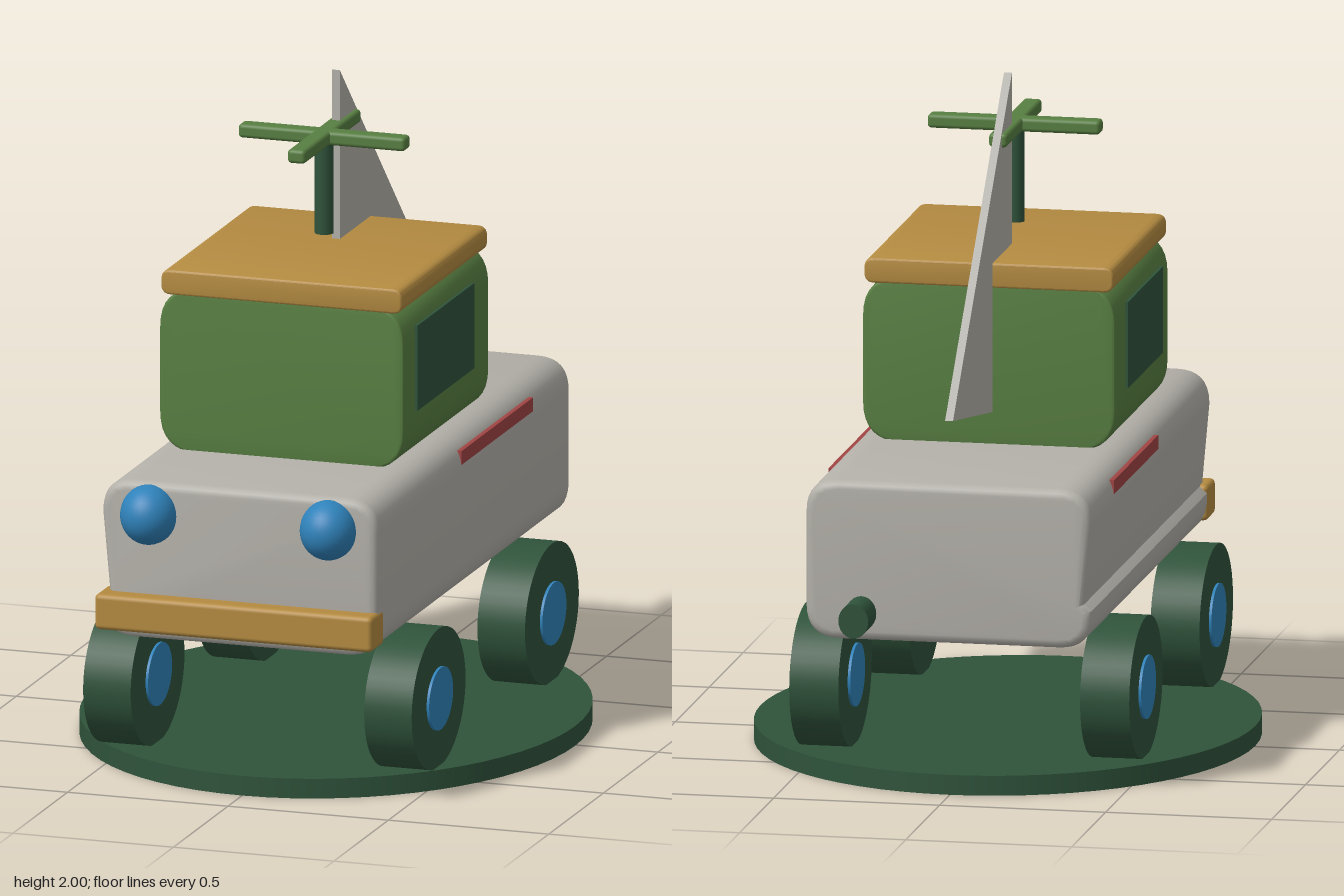
import * as THREE from 'three';
import { toCreasedNormals } from 'three/addons/utils/BufferGeometryUtils.js';
import { RoundedBoxGeometry } from 'three/addons/geometries/RoundedBoxGeometry.js';

const mat = (name, color) => Object.assign(new THREE.MeshStandardMaterial({ color }), { name });

// Rounded rectangle; `pinch` tucks the lower part of the -x side inward, ending in a small ledge
function roundedProfile(w, h, r, pinch = 0) {
  const x = w / 2, y = h / 2, s = new THREE.Shape();
  s.moveTo(-x + r, -y);
  s.lineTo(x - r, -y);
  s.quadraticCurveTo(x, -y, x, -y + r);
  s.lineTo(x, y - r);
  s.quadraticCurveTo(x, y, x - r, y);
  s.lineTo(-x + r, y);
  s.quadraticCurveTo(-x, y, -x, y - r);
  if (pinch) {
    s.lineTo(-x + pinch, -y + r + 0.035);
    s.lineTo(-x, -y + r + 0.015);
  }
  s.lineTo(-x, -y + r);
  s.quadraticCurveTo(-x, -y, -x + r, -y);
  return s;
}

// Extrudes a profile along z, centred, with overall depth and bevel included
function extrudeZ(shape, depth, bevel) {
  const g = new THREE.ExtrudeGeometry(shape, {
    depth: depth - 2 * bevel, bevelEnabled: bevel > 0, bevelThickness: bevel,
    bevelSize: bevel, bevelOffset: -bevel, bevelSegments: 3, curveSegments: 8,
  });
  g.translate(0, 0, -(depth - 2 * bevel) / 2);
  return toCreasedNormals(g, 0.6);
}

export function createModel() {
  const grey = mat('body grey', 0xb3b0a9);
  const green = mat('leaf green', 0x587f42);
  const dark = mat('dark green', 0x2f533b);
  const ochre = mat('ochre', 0xb48b41);
  const blue = mat('blue', 0x2f82ba);
  const red = mat('red', 0xa24444);

  const model = new THREE.Group();
  const add = (name, geometry, material, x, y, z) => {
    const mesh = new THREE.Mesh(geometry, material);
    mesh.name = name;
    mesh.position.set(x, y, z);
    model.add(mesh);
    return mesh;
  };

  // Oval stand
  add('stand', new THREE.CylinderGeometry(1, 1, 0.06, 64), dark, 0, 0.03, 0.01).scale.set(0.745, 1, 0.86);

  // Main body and cabin
  add('body', extrudeZ(roundedProfile(0.86, 0.48, 0.1, 0.022), 1.78, 0.025), grey, 0, 0.70, 0.01);
  add('cabin', extrudeZ(roundedProfile(0.76, 0.5, 0.12), 0.785, 0.008), green, 0, 1.18, 0.118);
  add('roof', extrudeZ(roundedProfile(0.75, 0.075, 0.03), 0.79, 0.006), ochre, 0, 1.447, 0.118);

  // Bumper and exhaust
  add('bumper', new RoundedBoxGeometry(0.865, 0.108, 0.12, 3, 0.015), ochre, 0, 0.545, 0.896);
  const exhaust = add('exhaust', new THREE.CylinderGeometry(0.045, 0.045, 0.18, 24), dark, 0.26, 0.543, -0.91);
  exhaust.rotation.x = Math.PI / 2;
  exhaust.scale.z = 1.15;

  // Mirrored details
  for (const side of [-1, 1]) {
    const label = side > 0 ? 'left' : 'right';
    add(`${label}Headlight`, new THREE.SphereGeometry(1, 32, 20), blue, side * 0.28, 0.842, 0.9)
      .scale.set(0.085, 0.09, 0.092);
    add(`${label}Stripe`, new THREE.BoxGeometry(0.025, 0.042, 0.655), red, side * 0.4175, 0.88, -0.205);
    add(`${label}Window`, new THREE.BoxGeometry(0.009, 0.26, 0.52), dark, side * 0.383, 1.22, 0.142);

    // Oval wheels with hubs showing on both faces
    for (const [end, z] of [['Front', 0.575], ['Rear', -0.463]]) {
      const wheel = new THREE.Group();
      wheel.name = `${label}${end}Wheel`;
      wheel.position.set(side * 0.438, 0.267, z);
      for (const [name, r, width, m] of [['tyre', 0.247, 0.148, dark], ['hub', 0.11, 0.164, blue]]) {
        const g = new THREE.CylinderGeometry(r, r, width, 48).rotateZ(Math.PI / 2).scale(1, 0.857, 1);
        const mesh = new THREE.Mesh(g, m);
        mesh.name = name;
        wheel.add(mesh);
      }
      model.add(wheel);
    }
  }

  // Rotor on its shaft, hovering just above the roof
  add('rotorShaft', new THREE.CylinderGeometry(0.028, 0.028, 0.29, 20), dark, 0, 1.675, 0.118);
  add('rotorBladeAcross', new RoundedBoxGeometry(0.52, 0.042, 0.056, 3, 0.012), green, 0, 1.825, 0.118);
  add('rotorBladeAlong', new RoundedBoxGeometry(0.056, 0.042, 0.52, 3, 0.012), green, 0, 1.825, 0.118);

  // Triangular tail fin standing in the centre plane
  const fin = new THREE.Shape([
    new THREE.Vector2(-0.01, 0.99),
    new THREE.Vector2(0.86, 1.13),
    new THREE.Vector2(-0.01, 2.0),
  ]);
  const finGeometry = new THREE.ExtrudeGeometry(fin, { depth: 0.024, bevelEnabled: false });
  finGeometry.translate(0, 0, -0.012).rotateY(Math.PI / 2);
  add('tailFin', finGeometry, grey, 0, 0, 0);

  return model;
}
